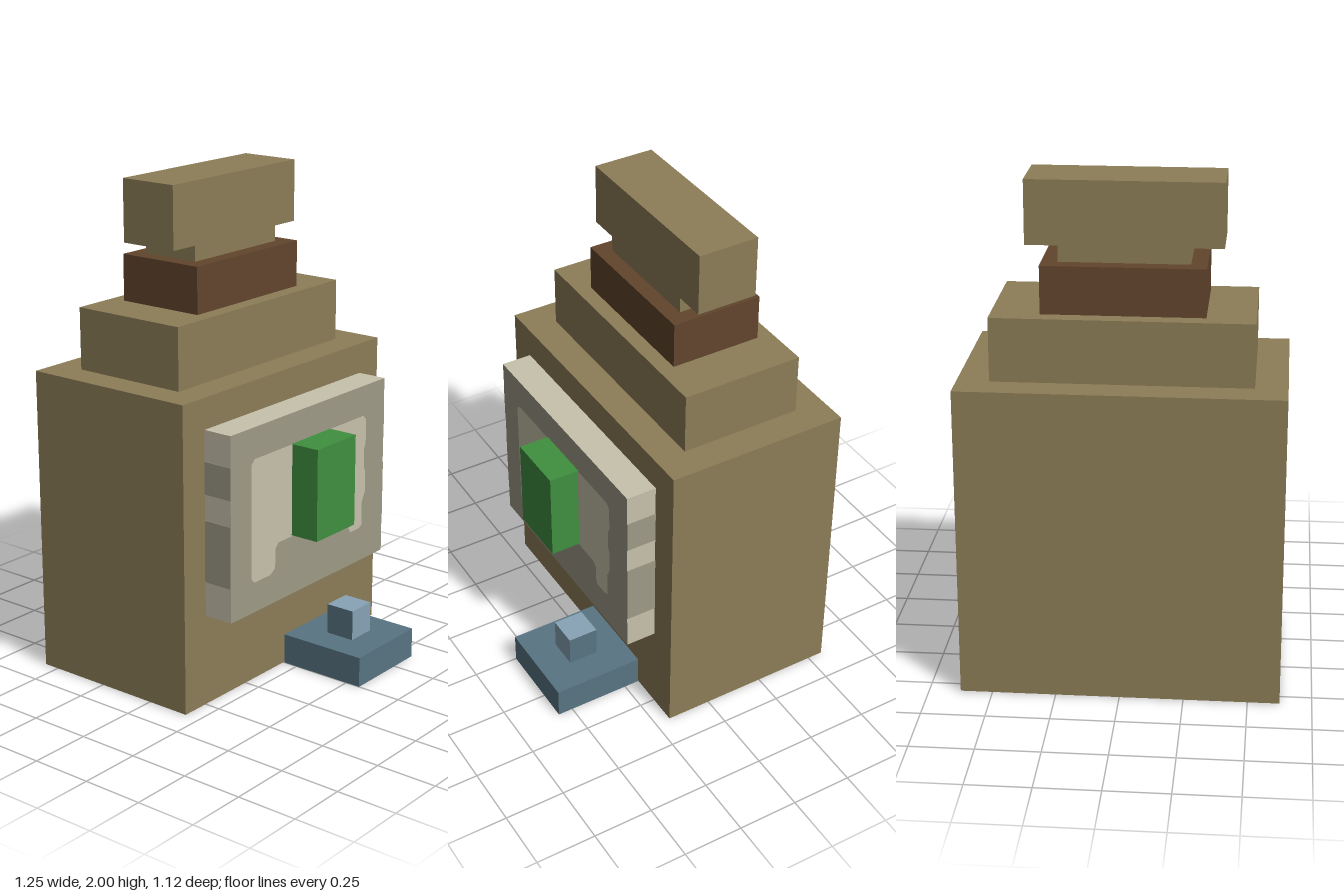
import * as THREE from 'three';

const mat = (name, color) => {
  const m = new THREE.MeshStandardMaterial({ color });
  m.name = name;
  return m;
};

export function createModel() {
  const root = new THREE.Group();
  root.name = 'bottleWithLabelAndTap';

  const olive = mat('olive', 0x8d7d58);
  const brown = mat('brown', 0x63452d);
  const cream = mat('cream', 0xc8c2ac);
  const grey = mat('warmGrey', 0x9f9b87);
  const green = mat('green', 0x409040);
  const blue = mat('slateBlue', 0x587483);
  const paleBlue = mat('paleBlue', 0x88a3b6);

  // Box given by its limits; material may be an array ordered +x -x +y -y +z -z
  const box = (name, material, [x0, x1], [y0, y1], [z0, z1]) => {
    const mesh = new THREE.Mesh(new THREE.BoxGeometry(x1 - x0, y1 - y0, z1 - z0), material);
    mesh.position.set((x0 + x1) / 2, (y0 + y1) / 2, (z0 + z1) / 2);
    mesh.name = name;
    root.add(mesh);
    return mesh;
  };

  // Flat painted patch from an outline
  const patch = (name, material, points) => {
    const shape = new THREE.Shape(points.map(([x, y]) => new THREE.Vector2(x, y)));
    const mesh = new THREE.Mesh(new THREE.ShapeGeometry(shape), material);
    mesh.name = name;
    root.add(mesh);
    return mesh;
  };

  // Bottle, stacked from the bottom up
  box('body', [olive, olive, olive, brown, olive, olive], [-0.625, 0.625], [0.003, 1.25], [-0.5625, 0.1875]);
  box('shoulder', olive, [-0.5, 0.5], [1.25, 1.5], [-0.4375, 0.0625]);
  box('neckBand', brown, [-0.3125, 0.3125], [1.5, 1.6875], [-0.375, 0]);
  box('neck', olive, [-0.25, 0.25], [1.6875, 1.75], [-0.3125, -0.0625]);
  box('cap', olive, [-0.375, 0.375], [1.75, 2], [-0.3125, -0.0625]);

  // Olive patch under the body, outline as (x, z)
  const base = patch('basePatch', olive, [
    [0.55, -0.06], [0.56, -0.36], [0.51, -0.46], [0.36, -0.45], [0.3, -0.48], [-0.22, -0.51],
    [-0.32, -0.48], [-0.36, -0.44], [-0.48, -0.44], [-0.5, -0.35], [-0.47, -0.28], [-0.47, -0.15],
    [-0.53, -0.1], [-0.53, 0.07], [-0.36, 0.1], [0.36, 0.09], [0.48, 0.06], [0.5, -0.02],
  ]);
  base.rotation.x = Math.PI / 2;

  // Label board with a cream stain on its grey face
  box('label', [cream, cream, cream, cream, grey, grey], [-0.5, 0.5], [0.375, 1.125], [0.1875, 0.3125]);
  const stain = patch('labelStain', cream, [
    [-0.38, 0.98], [-0.36, 1], [0.35, 1], [0.37, 0.98], [0.37, 0.88], [0.36, 0.86], [0.36, 0.78],
    [0.37, 0.76], [0.37, 0.67], [0.35, 0.63], [0.35, 0.53], [0.33, 0.52], [0.27, 0.52], [0.26, 0.54],
    [0.26, 0.6], [0.24, 0.62], [-0.21, 0.62], [-0.23, 0.6], [-0.23, 0.52], [-0.26, 0.5],
    [-0.36, 0.5], [-0.38, 0.52],
  ]);
  stain.position.z = 0.3155;

  // Grey bands on both label edges
  for (const s of [-1, 1]) {
    for (const y of [[0.515, 0.765], [0.87, 1]]) {
      box('labelEdgeBand', grey, [s * 0.5 - 0.002, s * 0.5 + 0.002], y, [0.1875, 0.3125]);
    }
  }

  // Green block on the label
  box('labelBlock', green, [-0.125, 0.125], [0.625, 1], [0.3125, 0.4375]);

  // Tap at the foot
  box('tapBase', blue, [0, 0.375], [0, 0.125], [0.1875, 0.5625]);
  box('tapKnob', [blue, blue, paleBlue, blue, paleBlue, paleBlue], [0.125, 0.25], [0.125, 0.25], [0.3125, 0.4375]);

  return root;
}
